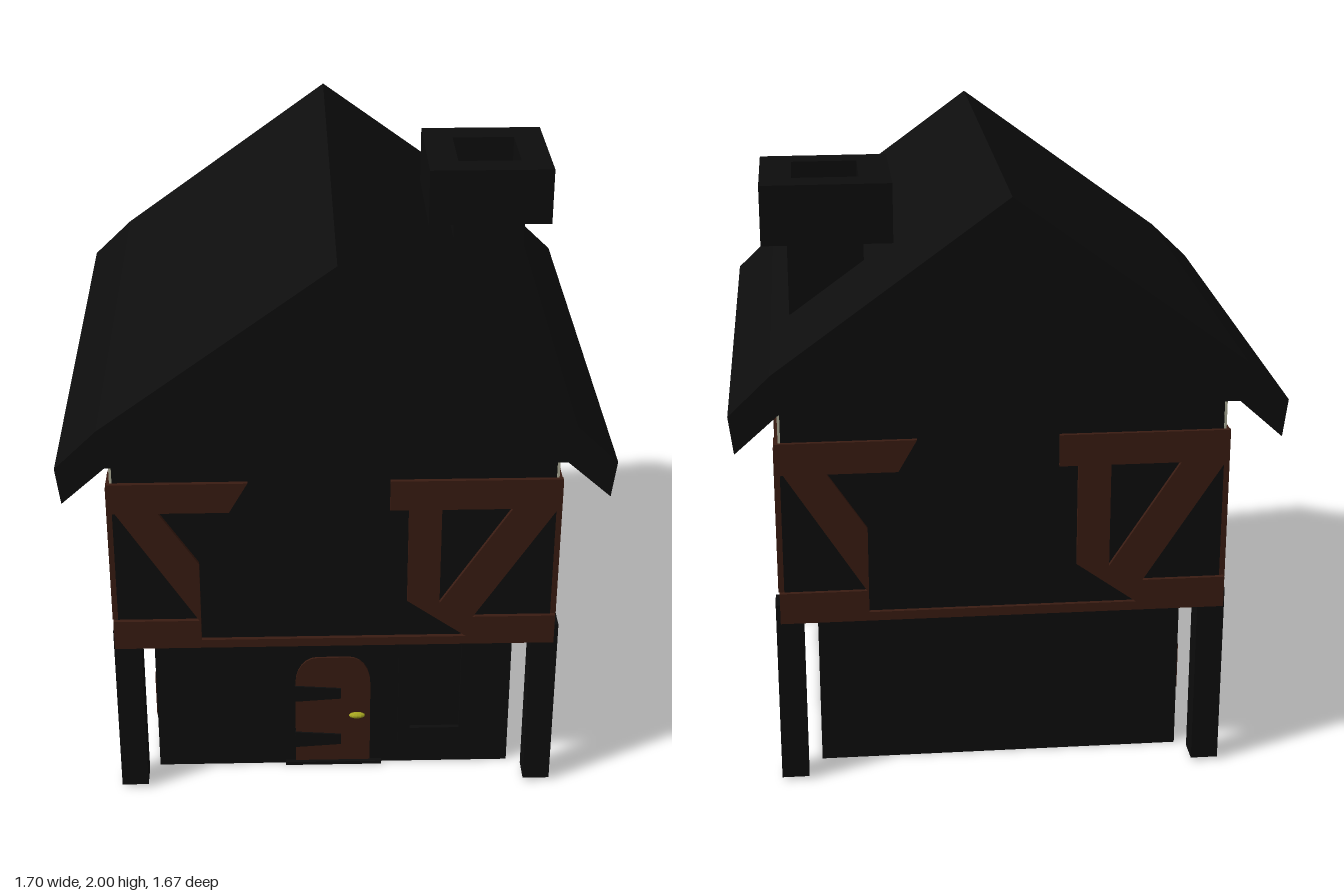
import * as THREE from 'three';

const mat = (color, side = THREE.FrontSide) =>
  new THREE.MeshStandardMaterial({ color, flatShading: true, side });
const black = mat(0x0d0d0d), brown = mat(0x3a1c12), cream = mat(0xb0b09a), brass = mat(0xa8a820);

export function createModel() {
  const house = new THREE.Group();
  house.name = 'timberHouse';

  const add = (name, geo, material, parent = house) => {
    const m = new THREE.Mesh(geo, material);
    m.name = name;
    parent.add(m);
    return m;
  };
  // Box given by its limits on each axis
  const box = (name, material, [x0, x1], [y0, y1], [z0, z1], parent) => {
    const g = new THREE.BoxGeometry(x1 - x0, y1 - y0, z1 - z0);
    g.translate((x0 + x1) / 2, (y0 + y1) / 2, (z0 + z1) / 2);
    return add(name, g, material, parent);
  };
  const poly = pts => new THREE.Shape(pts.map(([x, y]) => new THREE.Vector2(x, y)));
  const plate = (shape, z0, z1) => {
    const g = new THREE.ExtrudeGeometry(shape, { depth: z1 - z0, bevelEnabled: false, curveSegments: 6 });
    return g.translate(0, 0, z0);
  };
  const rect = (T, x0, x1, y0, y1) => new T([
    [x0, y0], [x1, y0], [x1, y1], [x0, y1],
  ].map(p => new THREE.Vector2(...p)));

  // Storeys
  box('groundFloor', black, [-0.6, 0.6], [0, 0.575], [-0.515, 0.52]);
  box('floorBeam', brown, [-0.71, 0.71], [0.57, 0.6], [-0.635, 0.635]);
  box('upperFloor', black, [-0.705, 0.705], [0.59, 1.36], [-0.632, 0.632]);
  box('sideBand', brown, [-0.603, -0.59], [0.21, 0.37], [-0.51, 0.515]);

  // Corner posts
  for (const x of [-0.68, 0.688])
    for (const z of [-0.601, 0.597])
      box('cornerPost', black, [x - 0.043, x + 0.046], [0.01, 0.635], [z - 0.043, z + 0.043]);

  // Half-timbering of the gable ends: one bent strip with openings, turned round for the back
  const timber = poly([
    [-0.72, 0.57], [0.72, 0.57], [0.72, 0.675], [0.45, 0.675], [0.71, 1.08],
    [0.72, 1.08], [0.72, 1.185], [0.175, 1.185], [0.175, 1.08], [0.235, 1.08],
    [0.235, 0.74], [0.43, 0.6], [-0.435, 0.6], [-0.435, 0.89], [-0.56, 1.08],
    [-0.335, 1.08], [-0.275, 1.185], [-0.72, 1.185], [-0.72, 1.08], [-0.695, 1.08],
    [-0.44, 0.675], [-0.72, 0.675],
  ]);
  timber.holes.push(new THREE.Path([
    [0.34, 1.08], [0.565, 1.08], [0.34, 0.73],
  ].map(p => new THREE.Vector2(...p))));
  for (const turn of [0, Math.PI])
    add('gableTimber', plate(timber, 0.63, 0.646), brown).rotation.y = turn;

  // Side timbers: rail, uprights and plaster strip
  for (const turn of [0, Math.PI]) {
    const side = new THREE.Group();
    side.name = 'sideTimber';
    side.rotation.y = turn;
    house.add(side);
    box('rail', brown, [0.7, 0.718], [1.08, 1.185], [-0.638, 0.638], side);
    for (const z of [0.575, 0.29, 0.025, -0.28, -0.567])
      box('upright', brown, [0.7, 0.724], [0.67, 1.16], [z - 0.054, z + 0.054], side);
    box('plasterStrip', cream, [0.7, 0.708], [1.185, 1.35], [-0.634, 0.634], side);
  }

  // Solid roof with flared, drooping eaves
  add('roof', plate(poly([
    [0, 2], [-0.72, 1.475], [-0.85, 1.35], [-0.835, 1.23], [-0.7, 1.35],
    [0.7, 1.35], [0.835, 1.23], [0.85, 1.35], [0.72, 1.475],
  ]), -0.838, 0.835), black);

  // Chimney with a hollow cap
  box('chimneyStack', black, [0.42, 0.66], [1.4, 1.8], [-0.37, -0.12]);
  const cap = rect(THREE.Shape, 0.33, 0.74, 0.04, 0.46);
  cap.holes.push(rect(THREE.Path, 0.43, 0.64, 0.13, 0.36));
  add('chimneyCap', plate(cap, 1.77, 1.96).rotateX(-Math.PI / 2), black);

  // Arched door with two hinges, step and handle
  const arch = new THREE.Shape();
  arch.moveTo(-0.13, 0.015);
  arch.lineTo(0.125, 0.015);
  arch.lineTo(0.125, 0.33);
  arch.bezierCurveTo(0.125, 0.4, 0.09, 0.44, 0.05, 0.44);
  arch.lineTo(-0.055, 0.44);
  arch.bezierCurveTo(-0.095, 0.44, -0.13, 0.4, -0.13, 0.33);
  add('door', plate(arch, 0.51, 0.527), brown);
  for (const y of [0.107, 0.298])
    add('hinge', plate(poly([
      [-0.132, y - 0.032], [0.025, y - 0.022], [0.025, y + 0.018], [-0.132, y + 0.03],
    ]), 0.515, 0.533), black);
  box('doorStep', black, [-0.165, 0.165], [0, 0.012], [0.5, 0.535]);
  const knob = new THREE.SphereGeometry(1, 12, 8).scale(0.028, 0.011, 0.012);
  add('doorHandle', knob.translate(0.08, 0.206, 0.533), brass);

  // Front window frame
  const frame = rect(THREE.Shape, 0.22, 0.47, 0.09, 0.56);
  frame.holes.push(rect(THREE.Path, 0.26, 0.43, 0.15, 0.49));
  add('windowFrame', plate(frame, 0.51, 0.535), black);

  return house;
}
